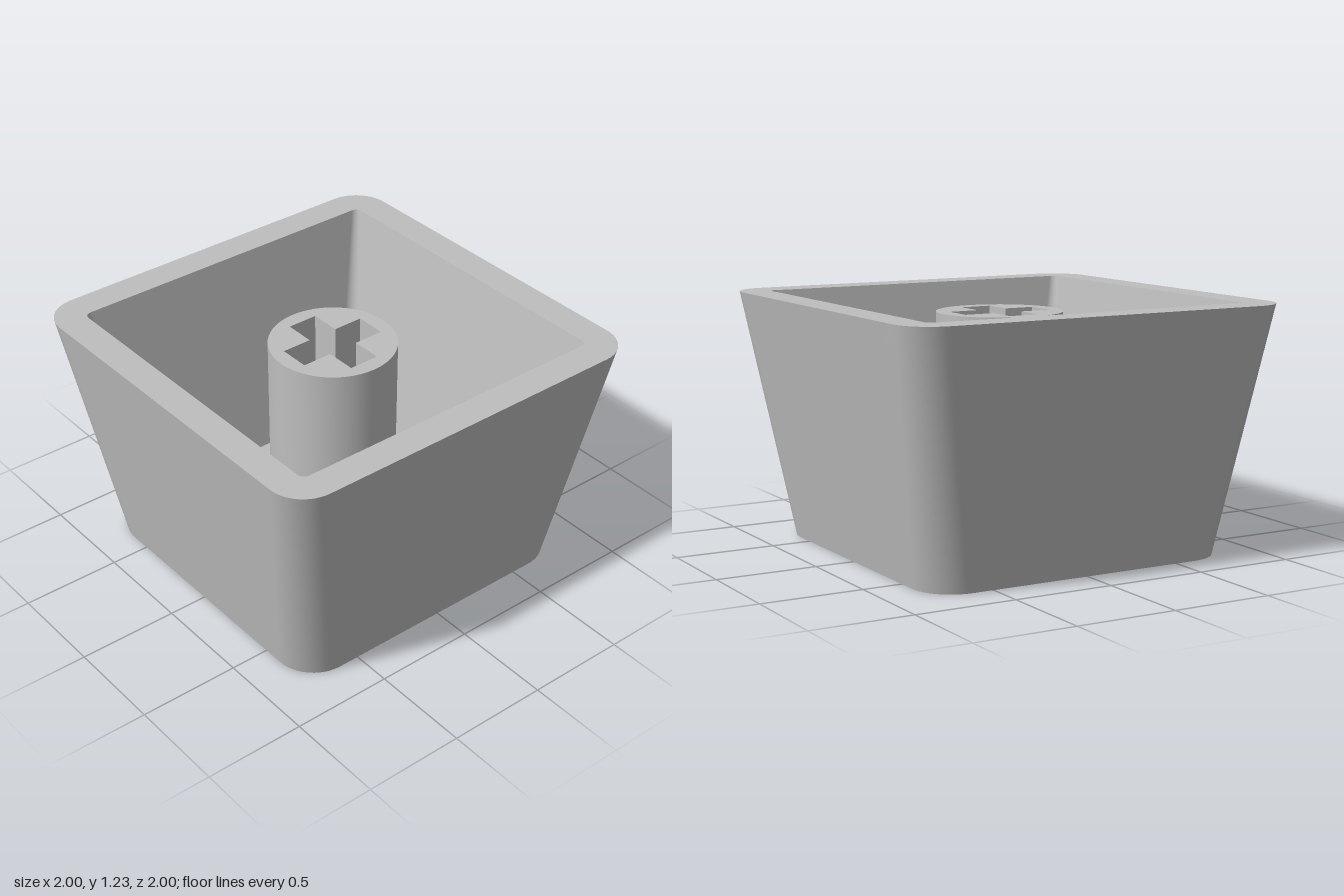
import * as THREE from 'three';
import { toCreasedNormals } from 'three/addons/utils/BufferGeometryUtils.js';

const HEIGHT = 1.225, FLOOR = 0.16, STEM_TOP = 1.155;

// Counter-clockwise outline of a rounded square
function roundedSquare(half, radius, steps = 12) {
  const points = [];
  const c = half - radius;
  for (let k = 0; k < 4; k++) {
    const cx = k === 0 || k === 3 ? c : -c;
    const cy = k < 2 ? c : -c;
    for (let i = 0; i <= steps; i++) {
      const a = (k + i / steps) * Math.PI / 2;
      points.push(new THREE.Vector2(cx + radius * Math.cos(a), cy + radius * Math.sin(a)));
    }
  }
  return points;
}

// Smooth wall between two outlines at heights ya and yb
function wall(a, ya, b, yb) {
  const n = a.length, positions = [], index = [];
  for (let i = 0; i < n; i++) {
    positions.push(a[i].x, ya, -a[i].y, b[i].x, yb, -b[i].y);
    const j = (i + 1) % n;
    index.push(2 * i, 2 * j, 2 * j + 1, 2 * i, 2 * j + 1, 2 * i + 1);
  }
  const geometry = new THREE.BufferGeometry();
  geometry.setAttribute('position', new THREE.Float32BufferAttribute(positions, 3));
  geometry.setIndex(index);
  geometry.computeVertexNormals();
  return geometry;
}

// Flat horizontal face, optionally with a hole
function plate(outline, y, up = true, hole = null) {
  const shape = new THREE.Shape(outline);
  if (hole) shape.holes.push(new THREE.Path(hole));
  return new THREE.ShapeGeometry(shape)
    .rotateX(up ? -Math.PI / 2 : Math.PI / 2)
    .translate(0, y, 0);
}

export function createModel() {
  const group = new THREE.Group();
  const plastic = new THREE.MeshStandardMaterial({ color: 0xbebebe });
  plastic.name = 'grey plastic';
  const add = (name, geometry) => {
    const mesh = new THREE.Mesh(geometry, plastic);
    mesh.name = name;
    group.add(mesh);
  };

  // Tapered hollow shell
  const outerBase = roundedSquare(0.805, 0.2);
  const outerRim = roundedSquare(1, 0.18);
  const innerRim = roundedSquare(0.845, 0.035);
  const innerFloor = roundedSquare(0.65, 0.08);
  add('outerWall', wall(outerBase, 0, outerRim, HEIGHT));
  add('innerWall', wall(innerRim, HEIGHT, innerFloor, FLOOR));
  add('rim', plate(outerRim, HEIGHT, true, innerRim));
  add('innerFloor', plate(innerFloor, FLOOR));
  add('base', plate(outerBase, 0, false));

  // Round stem with a cross-shaped socket
  const stem = new THREE.Shape().absarc(0, 0, 0.31, 0, Math.PI * 2, false);
  const l = 0.233, w = 0.078;
  const cross = [
    [l, -w], [l, w], [w, w], [w, l], [-w, l], [-w, w],
    [-l, w], [-l, -w], [-w, -w], [-w, -l], [w, -l], [w, -w],
  ].map(([x, y]) => new THREE.Vector2(x, y));
  stem.holes.push(new THREE.Path(cross));
  const stemGeometry = new THREE.ExtrudeGeometry(stem, {
    depth: STEM_TOP - FLOOR, bevelEnabled: false, curveSegments: 48,
  }).rotateX(-Math.PI / 2).translate(0, FLOOR, 0);
  add('stem', toCreasedNormals(stemGeometry, 0.5));

  return group;
}
